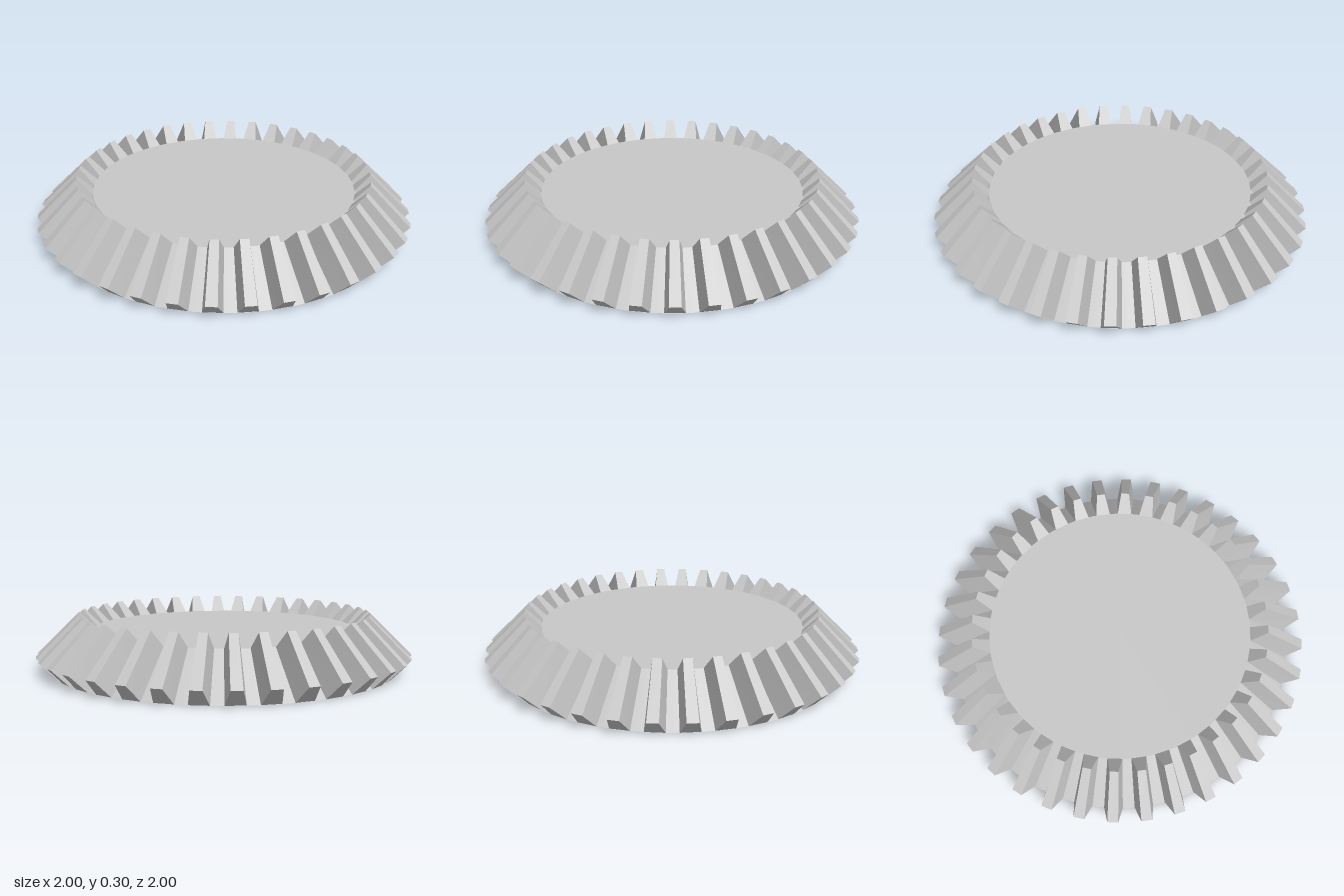
import * as THREE from 'three';

const TEETH = 36;
const ROOT_OUT = 0.917, ROOT_IN = 0.70, ROOT_H = 0.215; // root cone
const TIP_OUT = 1.0, TIP_IN = 0.78, TIP_OUT_Y = 0.085, TIP_IN_Y = 0.3; // tooth crest

// One tapered bevel tooth pointing to +z, shaped from a box
function toothGeometry() {
  const g = new THREE.BoxGeometry(1, 1, 1);
  const p = g.attributes.position;
  for (let i = 0; i < p.count; i++) {
    const side = Math.sign(p.getX(i));
    const tip = p.getY(i) > 0;
    const outer = p.getZ(i) > 0;
    const halfWidth = (tip ? 0.028 : 0.049) * (outer ? 1 : 0.78);
    const r = tip ? (outer ? TIP_OUT : TIP_IN) : (outer ? ROOT_OUT : ROOT_IN) - 0.002;
    const y = tip ? (outer ? TIP_OUT_Y : TIP_IN_Y) : (outer ? 0 : ROOT_H);
    p.setXYZ(i, side * halfWidth, y, r);
  }
  g.computeVertexNormals();
  return g;
}

export function createModel() {
  const group = new THREE.Group();
  group.name = 'bevelGear';

  const steel = new THREE.MeshStandardMaterial({ color: 0xc8c8c8 });
  steel.name = 'light grey';

  // Solid conical body
  const body = new THREE.Mesh(
    new THREE.CylinderGeometry(ROOT_IN, ROOT_OUT, ROOT_H, TEETH * 4), steel);
  body.name = 'gearBody';
  body.position.y = ROOT_H / 2;
  group.add(body);

  // Ring of teeth
  const teeth = new THREE.Group();
  teeth.name = 'teeth';
  const geometry = toothGeometry();
  for (let i = 0; i < TEETH; i++) {
    const tooth = new THREE.Mesh(geometry, steel);
    tooth.name = 'tooth';
    tooth.rotation.y = (i / TEETH) * Math.PI * 2;
    teeth.add(tooth);
  }
  group.add(teeth);

  return group;
}
